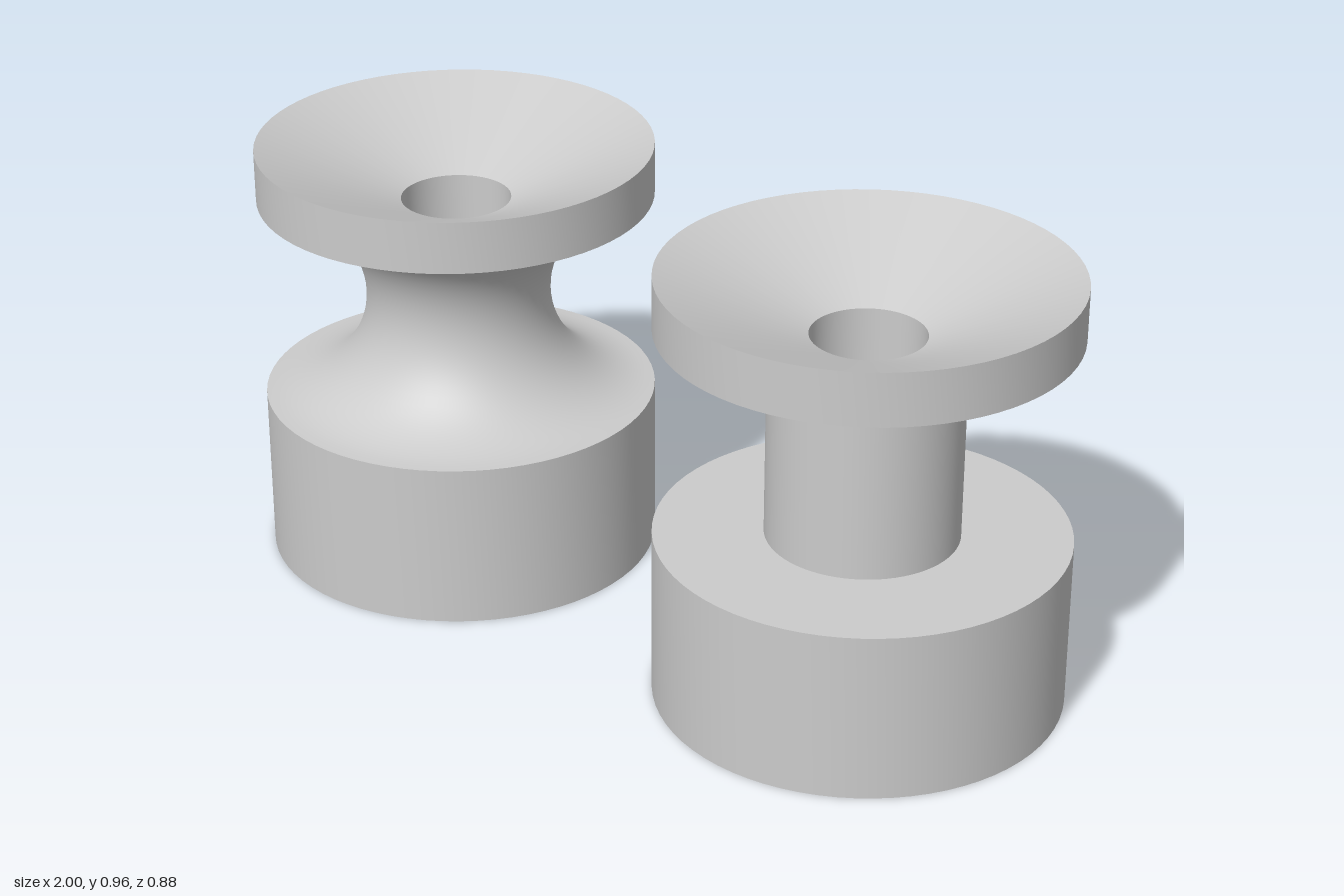
import * as THREE from 'three';
import { toCreasedNormals } from 'three/addons/utils/BufferGeometryUtils.js';

const R = 0.44;          // drum and flange radius
const NECK = 0.206;      // neck radius
const DRUM_TOP = 0.375;
const FLANGE_BOTTOM = 0.843;
const TOP = 0.96;

// Straight neck: two corners
function straightNeck() {
  return [[NECK, DRUM_TOP], [NECK, FLANGE_BOTTOM]];
}

// Concave neck: half circle cut into the side
function concaveNeck() {
  const points = [];
  const steps = 32;
  const midY = (DRUM_TOP + FLANGE_BOTTOM) / 2;
  const halfHeight = (FLANGE_BOTTOM - DRUM_TOP) / 2;
  for (let i = 1; i < steps; i++) {
    const a = (i / steps) * Math.PI;
    points.push([R - (R - NECK) * Math.sin(a), midY - halfHeight * Math.cos(a)]);
  }
  return points;
}

// One spool: closed profile up the outside and back down the bore
function makeSpool(name, neck, x) {
  const profile = [
    [0.04, 0], [R, 0], [R, DRUM_TOP],       // drum
    ...neck,
    [R, FLANGE_BOTTOM], [R, TOP],           // flange
    [0.122, 0.83],                          // dished top
    [0.122, 0.12], [0.04, 0.12], [0.04, 0], // stepped screw hole
  ].map(([r, y]) => new THREE.Vector2(r, y));
  const geometry = toCreasedNormals(new THREE.LatheGeometry(profile, 72), 0.5);
  const mesh = new THREE.Mesh(geometry, new THREE.MeshStandardMaterial({ color: 0xcccccc }));
  mesh.name = name;
  mesh.position.x = x;
  return mesh;
}

export function createModel() {
  const group = new THREE.Group();
  group.name = 'spoolPair';
  group.add(makeSpool('concaveSpool', concaveNeck(), -0.56));
  group.add(makeSpool('straightSpool', straightNeck(), 0.56));
  return group;
}
